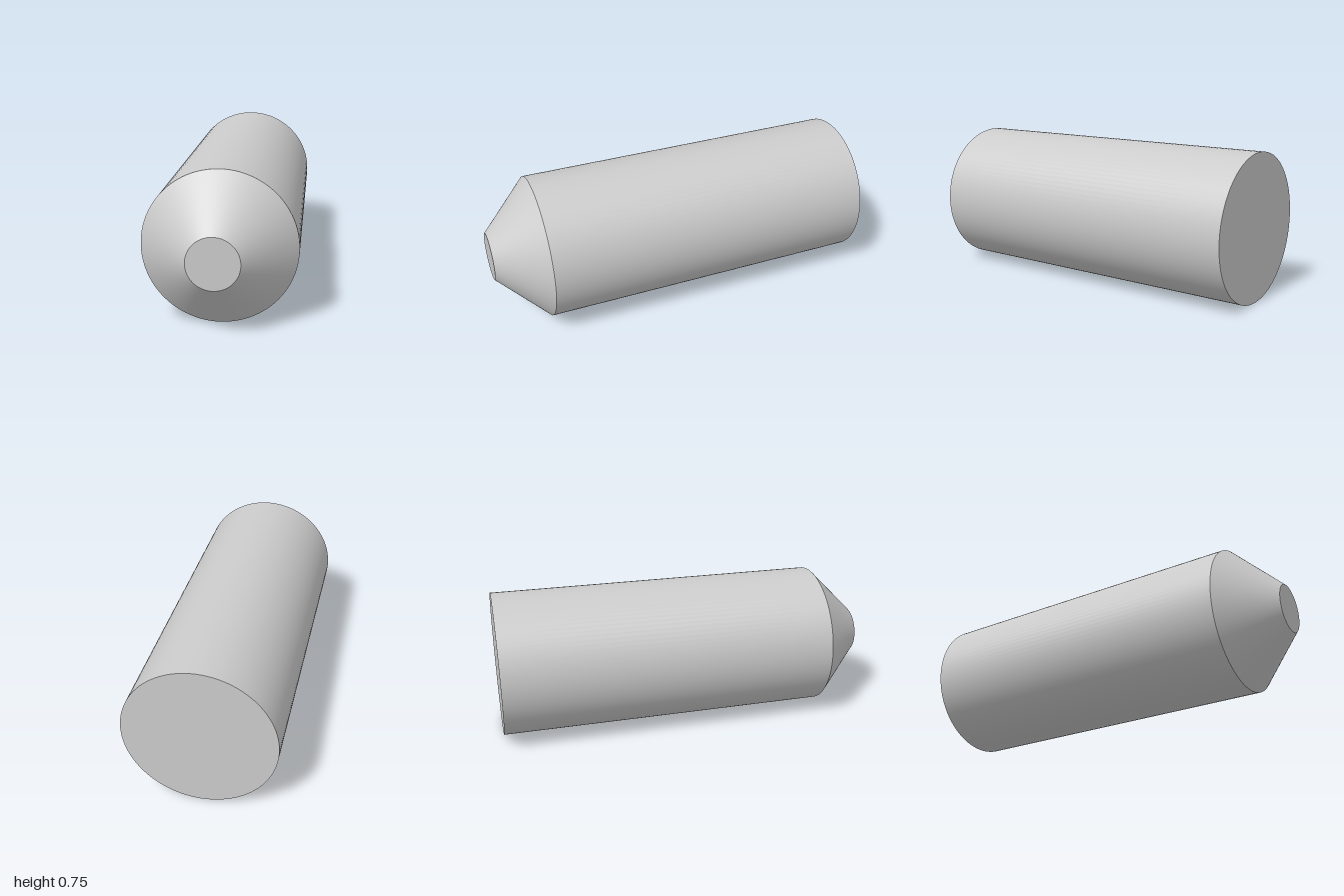
import * as THREE from 'three';

const SIDES = 96;
const BODY_RADIUS = 0.375;
const TIP_RADIUS = 0.125;
const BACK_Z = -1, SHOULDER_Z = 0.75, TIP_Z = 1;

export function createModel() {
  const group = new THREE.Group();
  group.name = 'chamferedPin';
  const material = new THREE.MeshStandardMaterial({ color: 0xcccccc });

  const add = (name, geometry, z) => {
    const mesh = new THREE.Mesh(geometry, material);
    mesh.name = name;
    mesh.position.set(0, BODY_RADIUS, z);
    group.add(mesh);
  };

  // Open round wall running along z, from one radius to another
  const addWall = (name, backRadius, frontRadius, z0, z1) => {
    const wall = new THREE.CylinderGeometry(frontRadius, backRadius, z1 - z0, SIDES, 1, true);
    add(name, wall.rotateX(Math.PI / 2), (z0 + z1) / 2);
  };

  // Straight shaft and tapered nose
  addWall('shaft', BODY_RADIUS, BODY_RADIUS, BACK_Z, SHOULDER_Z);
  addWall('taperedNose', BODY_RADIUS, TIP_RADIUS, SHOULDER_Z, TIP_Z);

  // Flat ends, with the back one turned to face -z
  add('frontFace', new THREE.CircleGeometry(TIP_RADIUS, SIDES), TIP_Z);
  add('backFace', new THREE.CircleGeometry(BODY_RADIUS, SIDES).rotateY(Math.PI), BACK_Z);

  return group;
}
